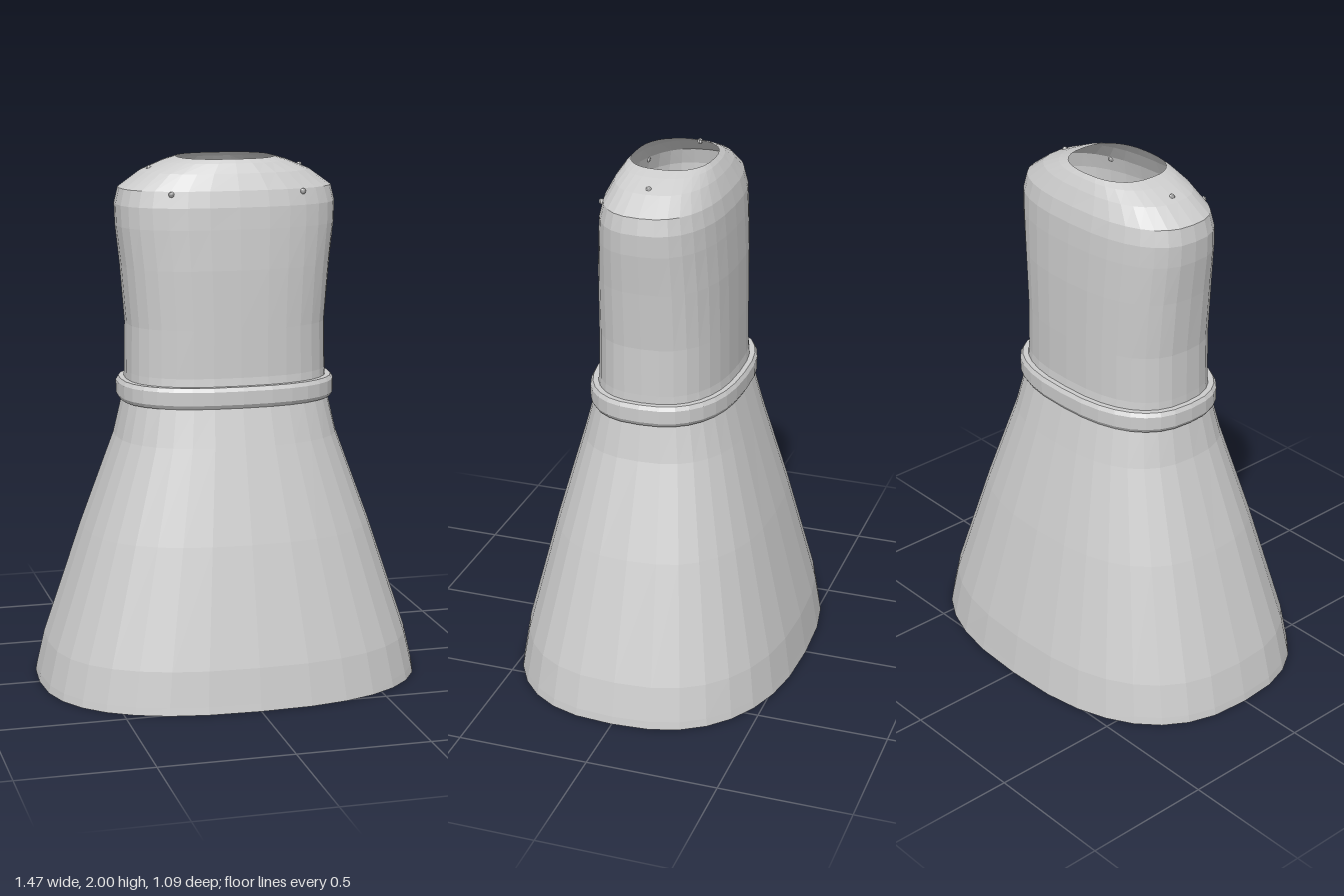
import * as THREE from 'three';

const SIDES = 32;
const POWER = 2.5; // rounded-rectangle cross-section

// Loft a surface through superellipse rings given as [y, halfWidth, halfDepth].
function loft(rings) {
  const pos = [], idx = [], e = 2 / POWER;
  for (const [y, rx, rz] of rings) {
    for (let j = 0; j < SIDES; j++) {
      const a = (j / SIDES) * Math.PI * 2, c = Math.cos(a), s = Math.sin(a);
      pos.push(Math.sign(c) * Math.abs(c) ** e * rx, y, Math.sign(s) * Math.abs(s) ** e * rz);
    }
  }
  for (let i = 0; i < rings.length - 1; i++) {
    for (let j = 0; j < SIDES; j++) {
      const k = (j + 1) % SIDES;
      const a = i * SIDES + j, b = i * SIDES + k;
      const c = a + SIDES, d = b + SIDES;
      idx.push(a, c, b, b, c, d);
    }
  }
  const geo = new THREE.BufferGeometry();
  geo.setAttribute('position', new THREE.Float32BufferAttribute(pos, 3));
  geo.setIndex(idx);
  geo.computeVertexNormals();
  return geo;
}

export function createModel() {
  const group = new THREE.Group();
  const cloth = new THREE.MeshStandardMaterial({ color: 0xcccccc, side: THREE.DoubleSide, flatShading: true });
  cloth.name = 'light grey';

  const add = (name, geo) => {
    const mesh = new THREE.Mesh(geo, cloth);
    mesh.name = name;
    group.add(mesh);
    return mesh;
  };

  // Flared skirt, open at the hem
  add('skirt', loft([
    [0, 0.735, 0.545], [0.03, 0.73, 0.54], [0.16, 0.7, 0.52], [0.6, 0.553, 0.41],
    [0.95, 0.425, 0.313], [1.09, 0.393, 0.275], [1.13, 0.386, 0.262],
  ]));

  // Bodice curving in to the open neck
  add('bodice', loft([
    [1.13, 0.386, 0.262], [1.2, 0.383, 0.252], [1.38, 0.38, 0.25], [1.6, 0.398, 0.246],
    [1.75, 0.415, 0.238], [1.83, 0.418, 0.232], [1.89, 0.404, 0.217],
    [1.95, 0.32, 0.188], [1.985, 0.235, 0.165], [2, 0.183, 0.15],
  ]));

  // Closed belt ring
  add('belt', loft([
    [1.095, 0.38, 0.255], [1.09, 0.405, 0.276], [1.105, 0.414, 0.285], [1.155, 0.414, 0.285],
    [1.17, 0.405, 0.276], [1.17, 0.38, 0.25], [1.095, 0.38, 0.255],
  ]));

  // Small studs on the chest and shoulders
  const stud = new THREE.SphereGeometry(0.011, 8, 6);
  for (const side of [-1, 1]) {
    add('chestStud', stud).position.set(side * 0.25, 1.88, 0.194);
    add('shoulderStud', stud).position.set(side * 0.29, 1.96, 0);
  }
  return group;
}
